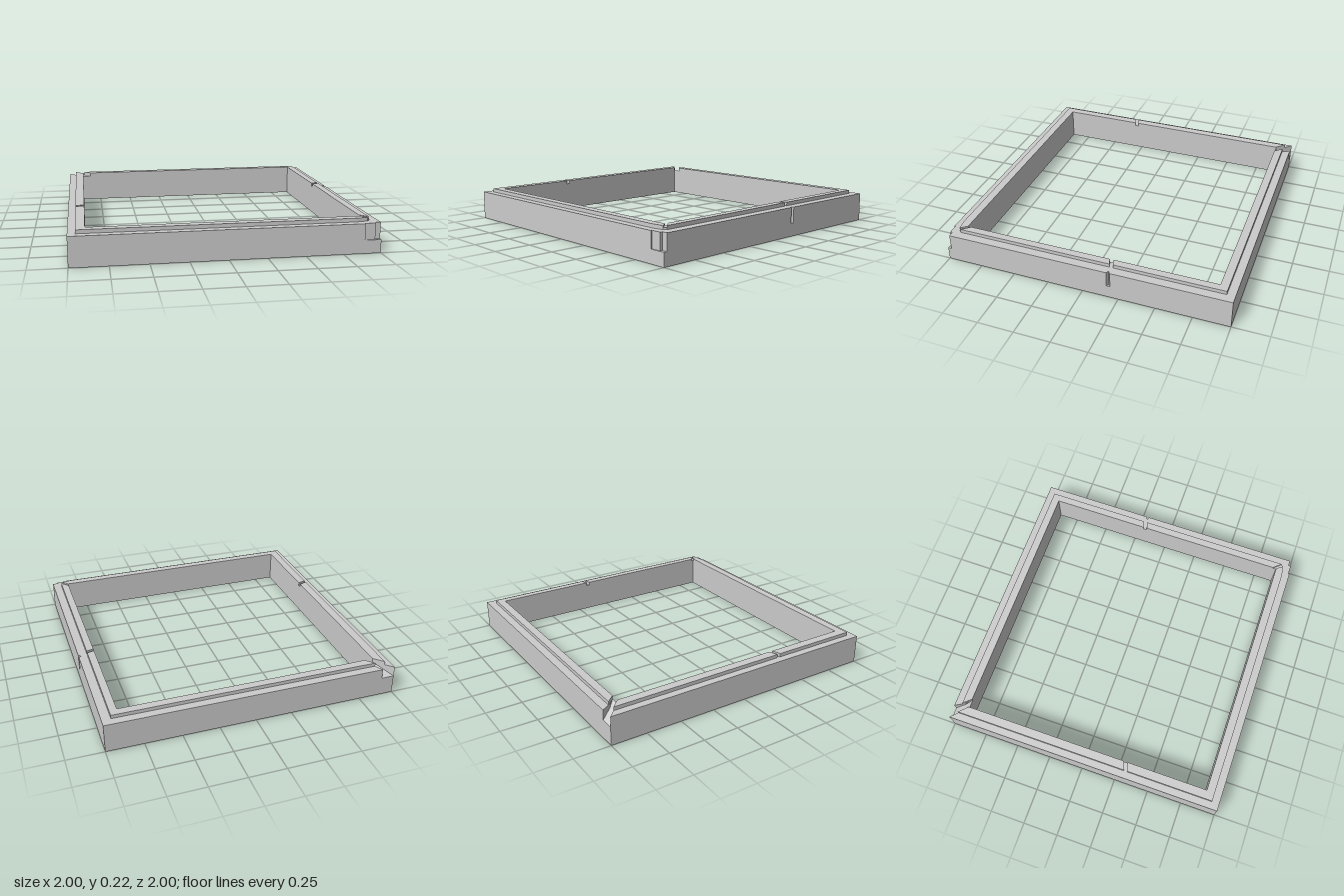
import * as THREE from 'three';

const material = new THREE.MeshStandardMaterial({ color: 0xcccccc, flatShading: true });

// Vertical slab from a plan outline of [x, z] points, between heights y0 and y1
function slab(name, outline, y0, y1, hole) {
  const toPoints = (list) => list.map(([x, z]) => new THREE.Vector2(x, z));
  const shape = new THREE.Shape(toPoints(outline));
  if (hole) shape.holes.push(new THREE.Path(toPoints(hole)));
  const geometry = new THREE.ExtrudeGeometry(shape, { depth: y1 - y0, bevelEnabled: false });
  geometry.rotateX(Math.PI / 2).translate(0, y1, 0);
  const mesh = new THREE.Mesh(geometry, material);
  mesh.name = name;
  return mesh;
}

const square = (r) => [[-r, -r], [r, -r], [r, r], [-r, r]];

export function createModel() {
  const group = new THREE.Group();
  group.name = 'squareFrame';
  const IN = 0.89, MID = 0.09, LEDGE = 0.2, TOP = 0.225;

  // Intact lower half of the kerb
  group.add(slab('lowerKerb', square(1), 0, MID, square(IN)));

  // Upper half, open at the broken corner, with nicks in its outer faces
  group.add(slab('upperKerb', [
    [-1, -1], [-1, 1],
    [0.89, 1], [0.89, 0.992], [0.96, 0.992], [0.96, 0.975], [1, 0.975],
    [1, -0.17], [0.98, -0.18], [1, -0.195],
    [1, -1], [-0.91, -1], [-0.87, -0.93], [-0.83, -IN],
    [IN, -IN], [IN, IN], [-IN, IN], [-IN, -IN],
  ], MID, LEDGE));

  // Broken corner: its floor falls toward the outer face
  const corner = slab('brokenCorner',
    [[-1, -1], [-0.91, -1], [-0.87, -0.93], [-0.83, -IN], [-IN, -IN]], MID, LEDGE);
  const pos = corner.geometry.attributes.position;
  for (let i = 0; i < pos.count; i++) {
    if (pos.getY(i) > MID + 0.01) {
      const t = (pos.getZ(i) + 1) / (1 - IN);
      pos.setY(i, THREE.MathUtils.lerp(0.13, LEDGE, t));
    }
  }
  corner.geometry.computeVertexNormals();
  group.add(corner);

  // Raised inner lip, split by cracks
  const lips = {
    lipRightFront: [[IN, -0.155], [0.94, -0.17], [0.94, 0.92], [IN, 0.865]],
    lipFront: [[IN, 0.89], [0.925, 0.935], [0.85, 0.947], [-0.95, 0.947],
      [-0.95, 0.33], [-IN, 0.31], [-IN, IN]],
    lipLeftBack: [[-0.95, 0.305], [-0.95, -0.95], [-IN, -IN], [-IN, 0.285]],
    lipBack: [[-0.88, -0.945], [0.94, -0.945], [0.94, -0.195], [IN, -0.18],
      [IN, -IN], [-0.83, -IN]],
  };
  for (const [name, outline] of Object.entries(lips)) {
    group.add(slab(name, outline, LEDGE, TOP));
  }

  // Worn piece of lip in the front corner
  group.add(slab('wornLip', [[IN, 0.865], [0.94, 0.92], [0.925, 0.935], [IN, 0.89]], LEDGE, 0.213));

  return group;
}
